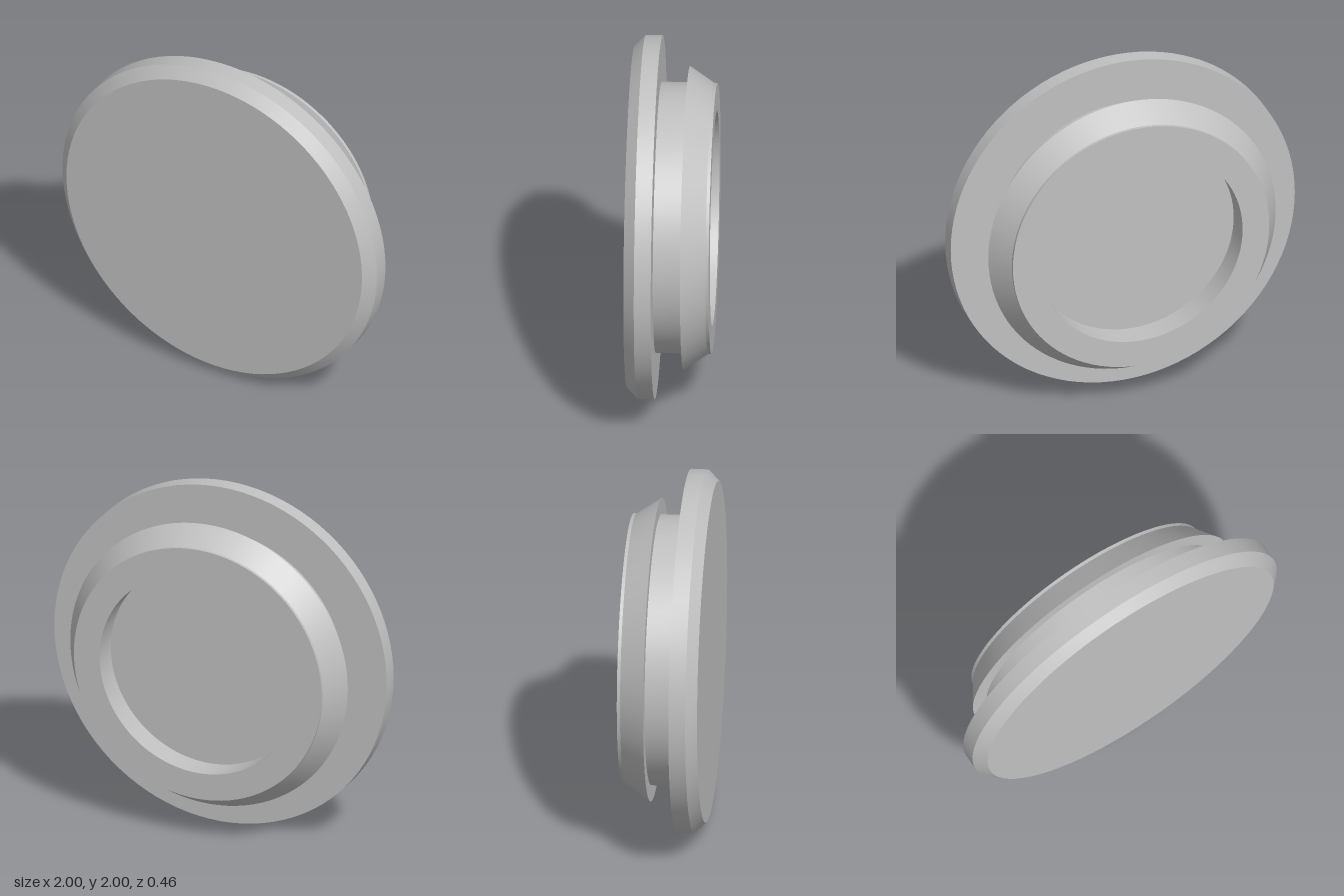
import * as THREE from 'three';
import { toCreasedNormals } from 'three/addons/utils/BufferGeometryUtils.js';

const SEGMENTS = 96;
const NECK_R = 0.745, RECESS_R = 0.59;
const FRONT_Z = 0.23, FLANGE_Z = 0.077, BARB_Z = -0.077, BACK_Z = -0.23;

export function createModel() {
  const model = new THREE.Group();
  model.name = 'roundPlug';
  const grey = new THREE.MeshStandardMaterial({ color: 0xc0c0c0 });
  grey.name = 'light grey';

  // Turns a profile of [radius, z] points about the z axis, keeping its edges sharp
  function turned(name, profile) {
    const points = profile.map(([r, z]) => new THREE.Vector2(r, z));
    const geometry = new THREE.LatheGeometry(points, SEGMENTS).rotateX(Math.PI / 2);
    const mesh = new THREE.Mesh(toCreasedNormals(geometry, Math.PI / 7), grey);
    mesh.name = name;
    mesh.position.y = 1;
    model.add(mesh);
  }

  // Hollow back: recess floor, recess wall and flat rim
  turned('recess', [[0, -0.08], [RECESS_R, -0.08], [RECESS_R, BACK_Z], [NECK_R, BACK_Z]]);

  // Tapered retaining lip with a short straight tip
  turned('barb', [[NECK_R, BACK_Z], [NECK_R, -0.212], [0.835, BARB_Z], [NECK_R, BARB_Z]]);

  // Straight neck between lip and flange
  turned('neck', [[NECK_R, BARB_Z], [NECK_R, FLANGE_Z]]);

  // Wide front disc with a chamfered edge
  turned('flange', [[NECK_R, FLANGE_Z], [1, FLANGE_Z], [1, 0.17], [0.94, FRONT_Z], [0, FRONT_Z]]);

  return model;
}
